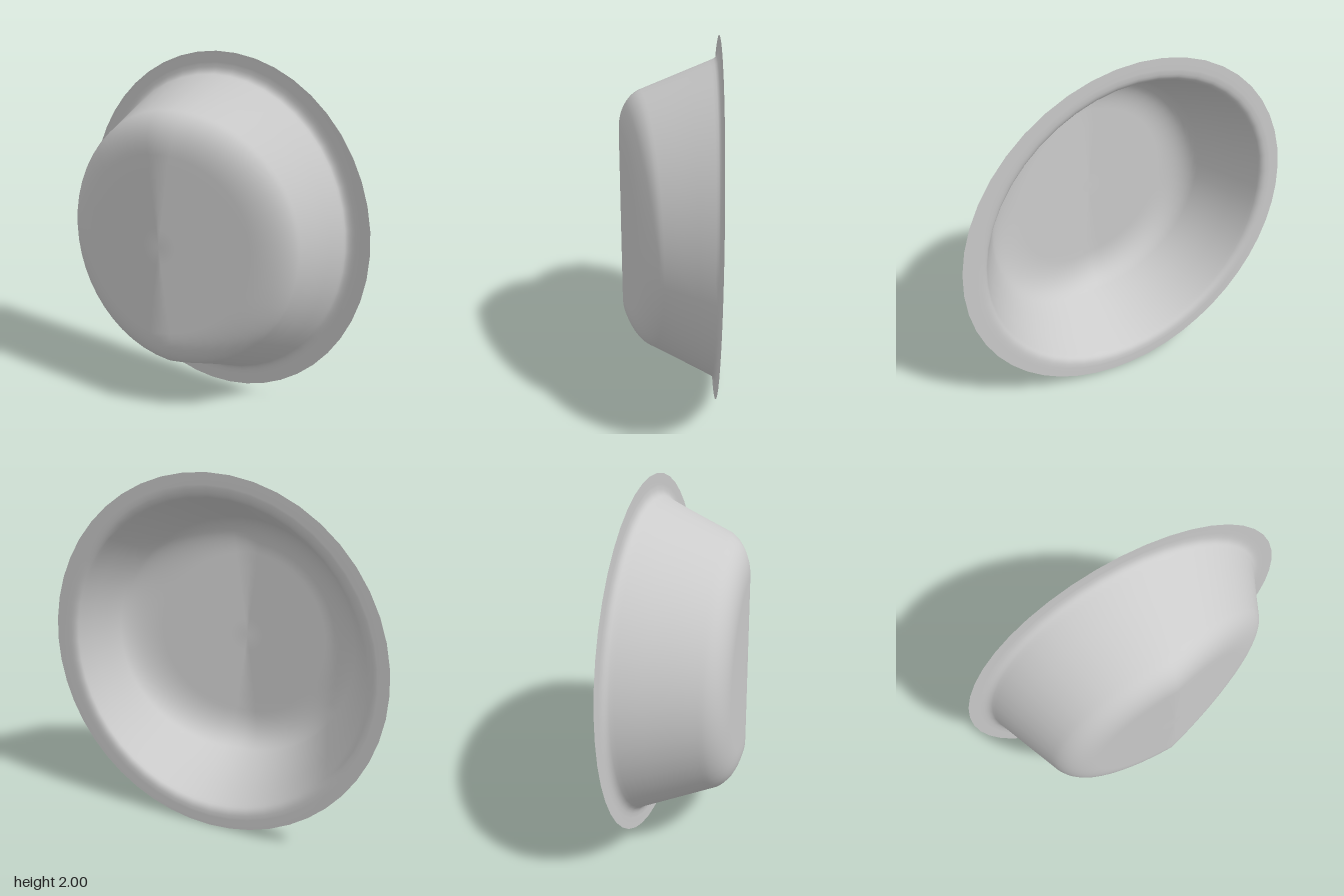
import * as THREE from 'three';
import { mergeVertices } from 'three/addons/utils/BufferGeometryUtils.js';

const DEPTH = 0.533;  // rim plane to floor
const BACK = -0.267;  // z of the rim plane

// Half section of the basin: radius, height above the rim plane
function basinProfile() {
  const pts = [0, 0.1, 0.2, 0.3, 0.4].map((r) => new THREE.Vector2(r, DEPTH));
  const corner = new THREE.QuadraticBezierCurve(
    new THREE.Vector2(0.5, DEPTH), new THREE.Vector2(0.655, DEPTH), new THREE.Vector2(0.71, 0.432));
  const lip = new THREE.QuadraticBezierCurve(
    new THREE.Vector2(0.876, 0.03), new THREE.Vector2(0.89, 0.002), new THREE.Vector2(0.93, 0.001));
  pts.push(...corner.getPoints(10));
  for (const t of [0.05, 0.35, 0.65, 0.95]) {
    pts.push(new THREE.Vector2(0.71 + 0.166 * t, 0.432 - 0.402 * t));
  }
  pts.push(...lip.getPoints(5), new THREE.Vector2(0.94, 0), new THREE.Vector2(1, 0));
  return pts;
}

export function createModel() {
  const group = new THREE.Group();
  group.name = 'basin';

  const lathe = new THREE.LatheGeometry(basinProfile(), 48);
  lathe.rotateX(Math.PI / 2);
  lathe.deleteAttribute('uv');
  lathe.deleteAttribute('normal');

  // Slightly oval, with the floor rising toward the left half
  const pos = lathe.attributes.position;
  for (let i = 0; i < pos.count; i++) {
    let x = pos.getX(i) * 0.97;
    let h = pos.getZ(i);
    if (x > 0) {
      const depth = h / DEPTH;
      if (h > 0.0005) x *= 0.985 + 0.05 * depth * Math.min(1, x / 0.6);
      h *= 1 - 0.5 * x;
    }
    pos.setXYZ(i, x, pos.getY(i) + 1, BACK + h);
  }

  const geometry = mergeVertices(lathe, 1e-4);
  geometry.computeVertexNormals();

  const bowl = new THREE.Mesh(
    geometry,
    new THREE.MeshStandardMaterial({ color: 0xcccccc, side: THREE.DoubleSide }));
  bowl.name = 'bowlAndRim';
  group.add(bowl);
  return group;
}
